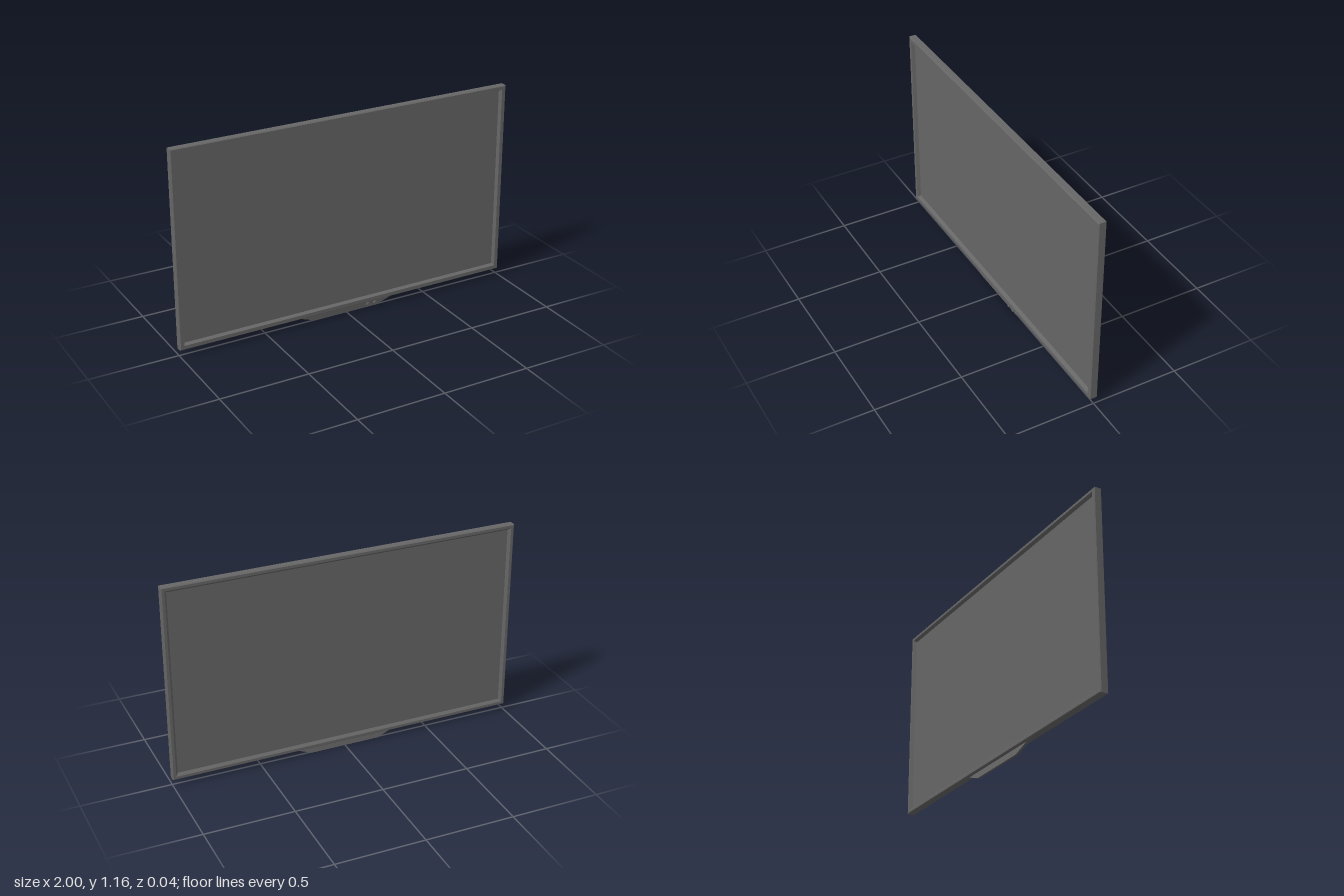
import * as THREE from 'three';

const material = new THREE.MeshStandardMaterial({ color: 0x666666, flatShading: true });
const BOTTOM = 0.037, TOP = 1.157, CENTRE = (BOTTOM + TOP) / 2;
const HALF_W = 1, HALF_H = (TOP - BOTTOM) / 2;

function part(name, geometry, parent) {
  const mesh = new THREE.Mesh(geometry, material);
  mesh.name = name;
  parent.add(mesh);
  return mesh;
}

// Sweeps a closed [inset, z] profile around a mitred rectangle.
function mitredFrame(profile) {
  const corners = [[-1, -1], [1, -1], [1, 1], [-1, 1]];
  const positions = [];
  const point = (c, p) => [corners[c][0] * (HALF_W - p[0]), corners[c][1] * (HALF_H - p[0]), p[1]];
  profile.forEach((p, i) => {
    const q = profile[(i + 1) % profile.length];
    for (let c = 0; c < 4; c++) {
      const d = (c + 1) % 4;
      const a = point(c, p), b = point(d, p), e = point(d, q), f = point(c, q);
      positions.push(...a, ...b, ...e, ...a, ...e, ...f);
    }
  });
  const g = new THREE.BufferGeometry();
  g.setAttribute('position', new THREE.Float32BufferAttribute(positions, 3));
  g.computeVertexNormals();
  return g;
}

export function createModel() {
  const model = new THREE.Group();
  model.name = 'television';

  // Bezel: chamfered outside, sloping inwards to the screen and the back panel
  const bezel = part('bezel', mitredFrame([
    [0, -0.018], [0, 0.018], [0.004, 0.022], [0.024, 0.022], [0.032, 0.002],
    [0.032, -0.007], [0.019, -0.022], [0.004, -0.022],
  ]), model);
  bezel.position.y = CENTRE;

  // Screen and back panel share one thin slab
  const panel = part('screenPanel', new THREE.BoxGeometry(1.938, 2 * (HALF_H - 0.031), 0.009), model);
  panel.position.set(0, CENTRE, -0.0025);

  // Control bar under the bezel, leaning back towards its lower edge
  const outline = new THREE.Shape([[-0.3, 0.038], [-0.2, 0], [0.2, 0], [0.3, 0.038]]
    .map(([x, y]) => new THREE.Vector2(x, y)));
  const bar = new THREE.ExtrudeGeometry(outline, { depth: 0.013, bevelEnabled: false });
  const pos = bar.attributes.position;
  for (let i = 0; i < pos.count; i++) {
    pos.setZ(i, pos.getZ(i) - 0.004 + (pos.getY(i) - 0.037) * 0.12);
  }
  bar.computeVertexNormals();
  part('controlBar', bar, model);

  // Two round buttons on the control bar
  for (const x of [0.135, 0.18]) {
    const button = part('button', new THREE.CylinderGeometry(0.009, 0.01, 0.012, 16), model);
    button.rotation.x = Math.PI / 2;
    button.position.set(x, 0.018, 0.009);
  }

  return model;
}
